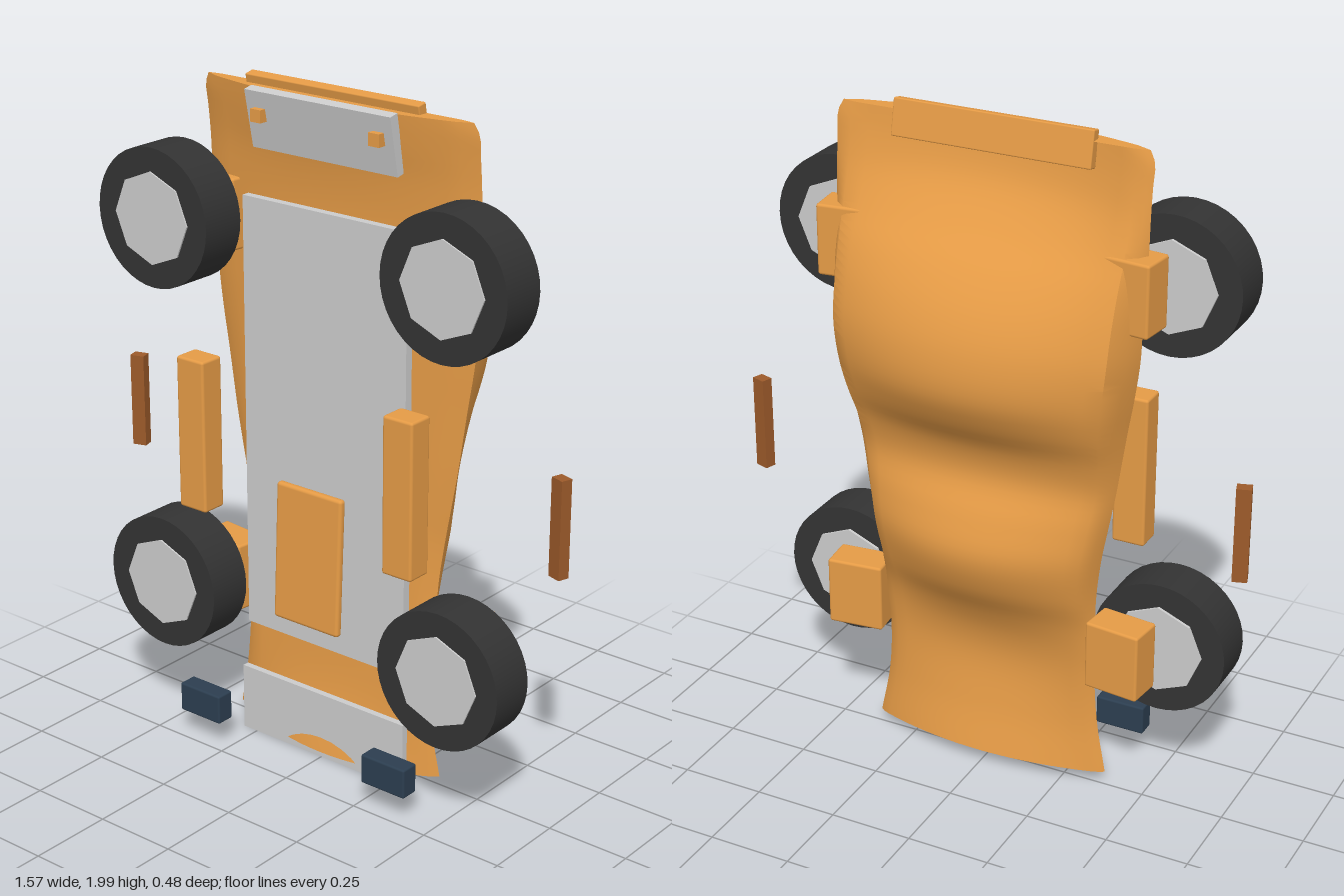
import * as THREE from 'three';
import { toCreasedNormals } from 'three/addons/utils/BufferGeometryUtils.js';
import { RoundedBoxGeometry } from 'three/addons/geometries/RoundedBoxGeometry.js';

const mat = (color, extra = {}) => new THREE.MeshStandardMaterial({ color, ...extra });
const paint = mat(0xe59b46);
const grey = mat(0xcccccc, { flatShading: true });
const rubber = mat(0x333333);
const navy = mat(0x2c3e50);
const brown = mat(0x9c5a2a);

// Body stations: y, half width, back centre z, shoulder z, widest-line z, front centre z
const STATIONS = [
  [0.04, 0.375, -0.07, -0.01, 0.012, 0.10],
  [0.20, 0.345, -0.035, -0.005, 0.015, 0.06],
  [0.36, 0.335, -0.018, -0.01, 0.01, 0.046],
  [0.45, 0.337, -0.035, -0.02, 0.0, 0.045],
  [0.53, 0.34, -0.072, -0.035, -0.005, 0.045],
  [0.64, 0.345, -0.142, -0.07, -0.01, 0.045],
  [0.76, 0.36, -0.178, -0.09, -0.015, 0.045],
  [0.87, 0.38, -0.15, -0.08, -0.015, 0.045],
  [0.98, 0.40, -0.105, -0.065, -0.015, 0.045],
  [1.08, 0.415, -0.125, -0.085, -0.015, 0.045],
  [1.18, 0.43, -0.195, -0.12, -0.015, 0.045],
  [1.27, 0.445, -0.238, -0.138, -0.015, 0.045],
  [1.39, 0.46, -0.238, -0.14, -0.015, 0.045],
  [1.50, 0.464, -0.20, -0.12, -0.015, 0.045],
  [1.60, 0.467, -0.135, -0.09, -0.01, 0.045],
  [1.70, 0.47, -0.045, -0.052, -0.005, 0.047],
  [1.80, 0.47, 0.025, -0.02, 0.0, 0.058],
  [1.88, 0.47, 0.05, -0.003, 0.008, 0.075],
  [1.94, 0.47, 0.058, 0.006, 0.015, 0.085],
  [1.97, 0.455, 0.062, 0.012, 0.02, 0.09],
];

// Closed cross-section, from the back centre round by +x
function section([y, w, back, shoulder, edge, front]) {
  const half = [];
  const lip = edge + 0.02;
  const n = 9;
  for (let i = 0; i <= n; i++) {
    const t = i / n;
    half.push([0.9 * w * t, back + (shoulder - back) * t * t]);
  }
  half.push([0.965 * w, (shoulder + edge) / 2], [w, edge], [0.9 * w, lip]);
  for (let i = 1; i <= n; i++) {
    const t = 1 - i / n;
    half.push([0.9 * w * t, front + (lip - front) * t * t]);
  }
  const other = half.slice(1, -1).reverse().map(([x, z]) => [-x, z]);
  // the lower end is cut slightly aslant
  const slant = 0.14 * Math.max(0, 1 - (y - 0.04) / 0.2);
  return [...half, ...other].map(([x, z]) => [x, y - slant * z, z]);
}

function bodyGeometry() {
  const curve = new THREE.CubicInterpolant(
    STATIONS.map((s) => s[0]), STATIONS.flatMap((s) => s.slice(1)), 5, new Float32Array(5));
  const rows = 80;
  const pos = [];
  const index = [];
  let count = 0;
  for (let i = 0; i <= rows; i++) {
    const y = 0.04 + (1.93 * i) / rows;
    const ring = section([y, ...curve.evaluate(y)]);
    count = ring.length;
    pos.push(...ring.flat());
  }
  for (let i = 0; i < rows; i++) {
    for (let j = 0; j < count; j++) {
      const k = (j + 1) % count;
      const a = i * count + j, b = i * count + k;
      index.push(a, a + count, b + count, a, b + count, b);
    }
  }
  // End caps: strips between mirrored points
  for (const [base, top] of [[0, false], [rows * count, true]]) {
    for (let j = 0; j < count / 2; j++) {
      const a = base + j, b = base + j + 1;
      const c = base + ((count - j - 1) % count), d = base + ((count - j) % count);
      for (const tri of [[a, b, c], [a, c, d]]) {
        if (new Set(tri).size === 3) index.push(...(top ? tri.reverse() : tri));
      }
    }
  }
  const g = new THREE.BufferGeometry();
  g.setAttribute('position', new THREE.Float32BufferAttribute(pos, 3));
  g.setIndex(index);
  return toCreasedNormals(g, 0.7);
}

export function createModel() {
  const model = new THREE.Group();

  const add = (name, geometry, material, x, y, z, rx = 0, ry = 0) => {
    const mesh = new THREE.Mesh(geometry, material);
    mesh.name = name;
    mesh.position.set(x, y, z);
    mesh.rotation.set(rx, ry, 0);
    model.add(mesh);
    return mesh;
  };
  const box = (w, h, d) => new THREE.BoxGeometry(w, h, d);
  const rounded = (w, h, d, r = 0.008) => new RoundedBoxGeometry(w, h, d, 2, r);

  add('bodyShell', bodyGeometry(), paint, 0, 0, 0);

  // Plates on the centre line
  add('chassisPlate', box(0.575, 1.305, 0.025), grey, 0, 1.008, 0.063);
  add('lowerBumperPlate', box(0.6, 0.205, 0.02), grey, 0, 0.1075, 0.08);
  add('upperBumperPlate', box(0.5, 0.17, 0.03), grey, 0, 1.888, 0.073, 0.2);
  add('spoiler', rounded(0.595, 0.105, 0.032, 0.004), paint, 0, 1.946, 0.021, 0.2);
  add('frontPanel', rounded(0.235, 0.415, 0.024, 0.01), paint, 0, 0.662, 0.141, -0.045);
  add('cabinFloor', box(0.5, 0.25, 0.024), navy, 0, 1.125, 0.037);

  // Paired parts
  const tyre = new THREE.CylinderGeometry(0.203, 0.203, 0.142, 40);
  const hub = new THREE.CylinderGeometry(0.135, 0.135, 0.156, 8);
  for (const s of [1, -1]) {
    const side = s > 0 ? 'left' : 'right';
    for (const [end, y] of [['Upper', 1.583], ['Lower', 0.468]]) {
      add(side + end + 'Tyre', tyre, rubber, s * 0.505, y, 0.141, Math.PI / 2);
      add(side + end + 'Hub', hub, grey, s * 0.505, y, 0.139, Math.PI / 2);
    }
    for (const [end, y] of [['Upper', 1.585], ['Lower', 0.466]]) {
      add(side + end + 'Fender', rounded(0.17, 0.21, 0.108), paint, s * 0.422, y, -0.01, 0, s * 0.11);
    }
    add(side + 'Sill', rounded(0.1, 0.46, 0.08), paint, s * 0.37, 0.969, 0.18);
    add(side + 'Mirror', box(0.043, 0.285, 0.034), brown, s * 0.76, 0.928, 0.018, 0, -s * 0.3);
    add(side + 'HeadLamp', rounded(0.152, 0.09, 0.058, 0.006), navy, s * 0.343, 0.127, 0.21);
    add(side + 'TailLamp', box(0.036, 0.036, 0.03), paint, s * 0.203, 1.903, 0.1);
  }
  return model;
}
